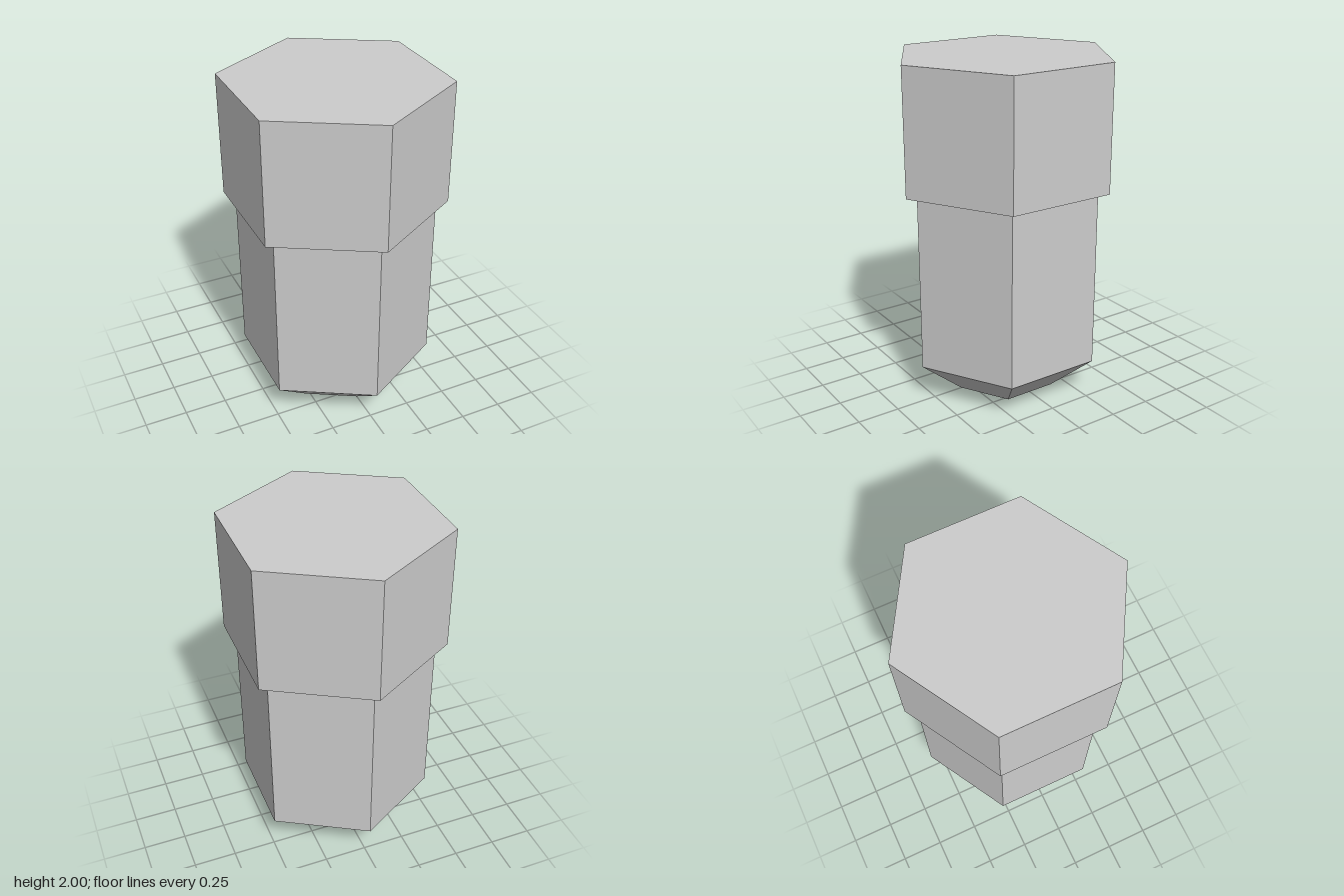
import * as THREE from 'three';

export function createModel() {
  const group = new THREE.Group();
  const grey = new THREE.MeshStandardMaterial({ color: 0xcccccc, flatShading: true });
  grey.name = 'light grey';

  // Open six-sided section with corners facing front and back
  const section = (name, y0, r0, y1, r1) => {
    const geometry = new THREE.CylinderGeometry(r1, r0, y1 - y0, 6, 1, true);
    const mesh = new THREE.Mesh(geometry, grey);
    mesh.name = name;
    mesh.position.y = (y0 + y1) / 2;
    group.add(mesh);
  };

  // Flat hexagon closing an end
  const cap = (name, y, r, facing) => {
    const mesh = new THREE.Mesh(new THREE.CircleGeometry(r, 6, Math.PI / 2), grey);
    mesh.name = name;
    mesh.rotation.x = -facing * Math.PI / 2;
    mesh.position.y = y;
    group.add(mesh);
  };

  cap('tipFace', 0, 0.315, -1);
  section('taperedTip', 0, 0.315, 0.222, 0.577);
  section('shaft', 0.222, 0.577, 1.255, 0.577);
  section('headUnderside', 1.255, 0.577, 1.27, 0.645);
  section('head', 1.27, 0.645, 2, 0.645);
  cap('headTop', 2, 0.645, 1);

  return group;
}
